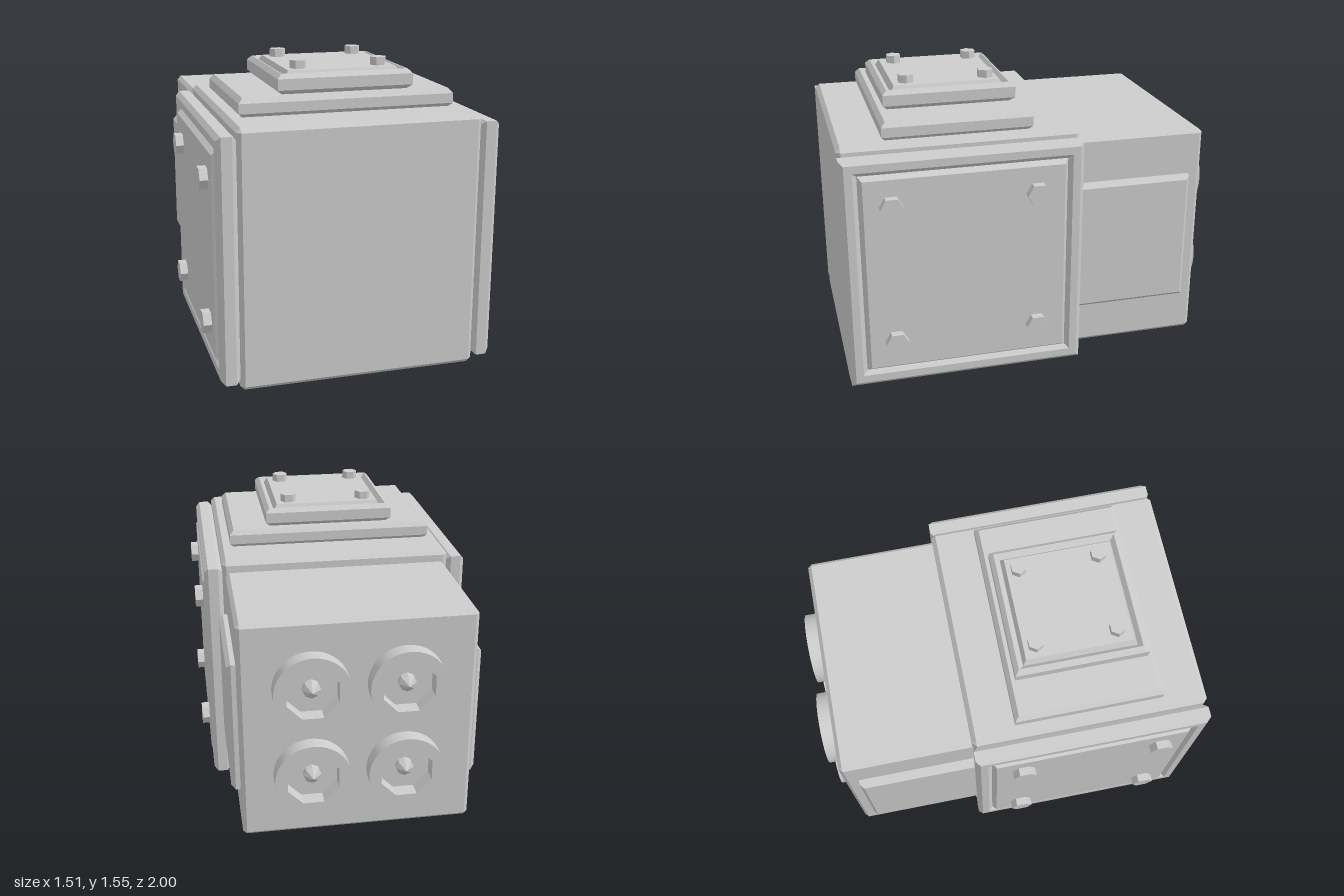
import * as THREE from 'three';
import { toCreasedNormals } from 'three/addons/utils/BufferGeometryUtils.js';
import { ConvexGeometry } from 'three/addons/geometries/ConvexGeometry.js';

const grey = new THREE.MeshStandardMaterial({ color: 0xcccccc });
grey.name = 'plain grey';

function add(parent, name, geometry, x = 0, y = 0, z = 0) {
  const mesh = new THREE.Mesh(geometry, grey);
  mesh.name = name;
  mesh.position.set(x, y, z);
  parent.add(mesh);
  return mesh;
}

// Box with every edge cut by a chamfer c
function chamferBox(w, h, d, c) {
  const points = [];
  for (const sx of [-1, 1]) for (const sy of [-1, 1]) for (const sz of [-1, 1]) {
    for (let axis = 0; axis < 3; axis++) {
      const p = [w / 2 - c, h / 2 - c, d / 2 - c];
      p[axis] += c;
      points.push(new THREE.Vector3(sx * p[0], sy * p[1], sz * p[2]));
    }
  }
  return new ConvexGeometry(points);
}

// Rectangular plate rising along y; profile is a list of [inset, height]
function slab(w, d, profile) {
  const pos = [];
  const ring = ([inset, y]) => {
    const a = w / 2 - inset, b = d / 2 - inset;
    return [[-a, y, b], [a, y, b], [a, y, -b], [-a, y, -b]];
  };
  const quad = (a, b, c, e) => pos.push(...a, ...b, ...c, ...a, ...c, ...e);
  const rings = profile.map(ring);
  for (let i = 0; i < rings.length - 1; i++) {
    for (let k = 0; k < 4; k++) {
      const n = (k + 1) % 4;
      quad(rings[i][k], rings[i][n], rings[i + 1][n], rings[i + 1][k]);
    }
  }
  const first = rings[0], last = rings[rings.length - 1];
  quad(last[0], last[1], last[2], last[3]);
  quad(first[3], first[2], first[1], first[0]);
  const g = new THREE.BufferGeometry();
  g.setAttribute('position', new THREE.Float32BufferAttribute(pos, 3));
  g.computeVertexNormals();
  return g;
}

const hexBolt = (r, h) => toCreasedNormals(new THREE.CylinderGeometry(r, r, h, 6), 0.5);

// Round collar with an octagonal bore
function collarGeometry() {
  const shape = new THREE.Shape().absarc(0, 0, 0.193, 0, Math.PI * 2);
  const bore = [];
  for (let i = 0; i < 8; i++) {
    const a = -(i + 0.5) * Math.PI / 4;
    bore.push(new THREE.Vector2(0.14 * Math.cos(a), 0.14 * Math.sin(a)));
  }
  shape.holes.push(new THREE.Path(bore));
  const g = new THREE.ExtrudeGeometry(shape, { depth: 0.08, bevelEnabled: false, curveSegments: 32 });
  return toCreasedNormals(g, 0.5);
}

export function createModel() {
  const model = new THREE.Group();
  model.name = 'machineBlock';

  // Bodies
  add(model, 'mainBody', chamferBox(1.22, 1.31, 1.23, 0.022), 0, 0.655, 0.385);
  add(model, 'rearBody', chamferBox(1.186, 1.18, 0.74, 0.02), 0, 0.66, -0.55);

  // Stepped cover on top
  add(model, 'topBasePlate', slab(1.1, 0.77,
    [[0.02, 0], [0, 0.02], [0, 0.07], [0.022, 0.095]]), 0, 1.308, 0.385);
  add(model, 'topCover', slab(0.695, 0.69,
    [[0.025, 0], [0, 0.022], [0, 0.078], [0.022, 0.1], [0.028, 0.1], [0.05, 0.075], [0.068, 0.108]]),
  0, 1.403, 0.385);
  for (const x of [-0.21, 0.21]) for (const z of [0.17, 0.59]) {
    add(model, 'topBolt', hexBolt(0.042, 0.05), x, 1.527, z).rotation.y = Math.PI / 2;
  }

  // Side panels with bolts, mirrored left and right
  for (const s of [-1, 1]) {
    const turn = -s * Math.PI / 2;
    add(model, 'sidePanel', slab(1.235, 1.23,
      [[0.02, 0], [0, 0.022], [0, 0.075], [0.022, 0.097], [0.062, 0.097], [0.084, 0.075], [0.105, 0.104]]),
    s * 0.609, 0.6575, 0.385).rotation.z = turn;
    for (const y of [0.29, 1.03]) for (const z of [0.02, 0.76]) {
      add(model, 'sideBolt', hexBolt(0.06, 0.05), s * 0.73, y, z).rotation.z = turn;
    }
    add(model, 'rearSidePanel', slab(0.705, 0.645,
      [[0, 0], [0, 0.025], [0.02, 0.047]]), s * 0.592, 0.6575, -0.5225).rotation.z = turn;
  }

  // Four sockets on the back, each with a pointed pin
  const collar = collarGeometry();
  const pin = toCreasedNormals(new THREE.LatheGeometry([
    new THREE.Vector2(0.045, 0), new THREE.Vector2(0.045, 0.03), new THREE.Vector2(0, 0.07),
  ], 8), 0.3);
  for (const x of [-0.237, 0.237]) for (const y of [0.42, 0.9]) {
    add(model, 'socketCollar', collar, x, y, -1);
    add(model, 'socketPin', pin, x, y, -0.92).rotation.x = -Math.PI / 2;
  }
  return model;
}
